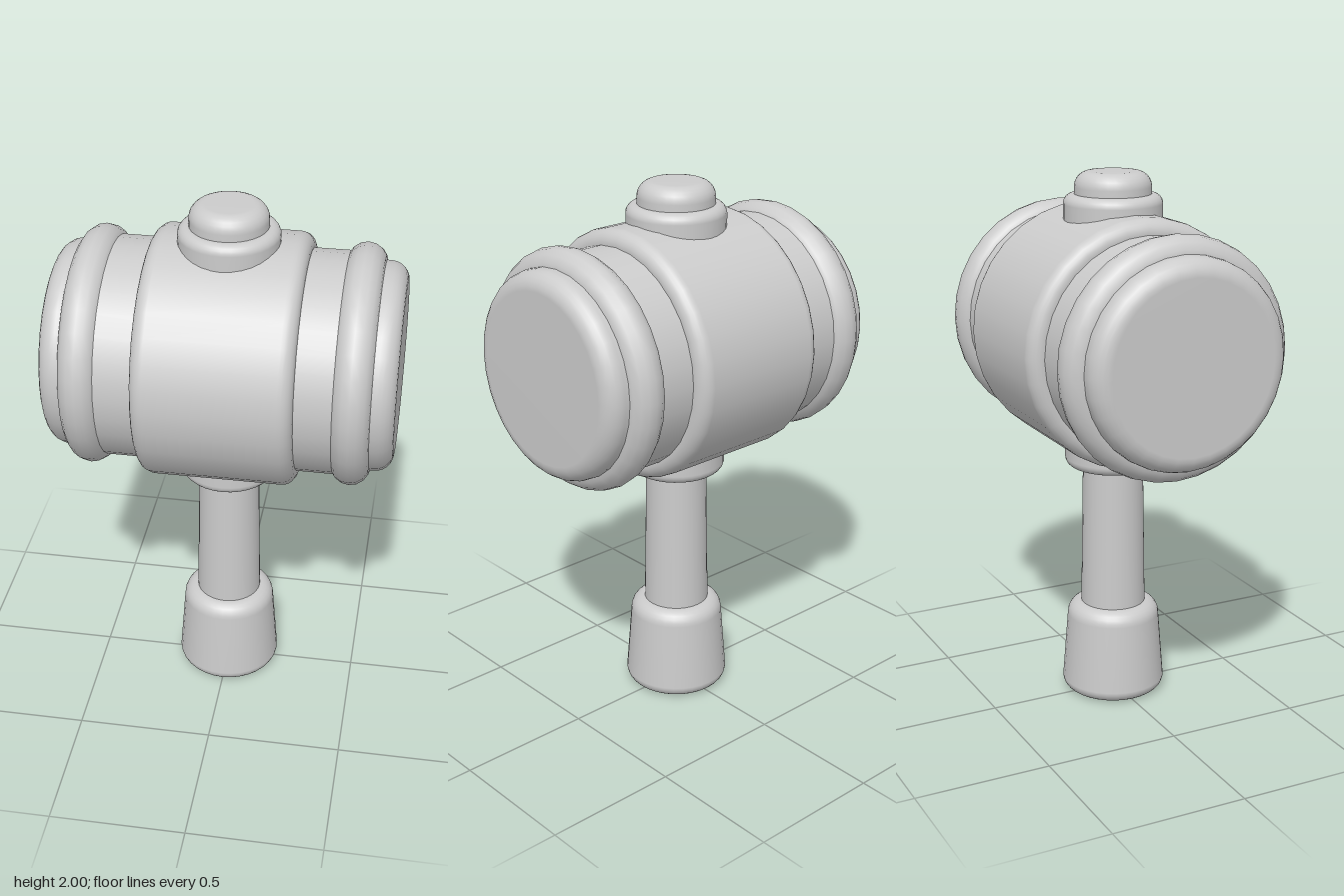
import * as THREE from 'three';

const material = new THREE.MeshStandardMaterial({ color: 0xcccccc });
const HEAD_Y = 1.41;

// Points of a quarter-round corner centred at (cx, cy), from angle a to a + 90 degrees
function corner(cx, cy, r, a, steps = 6) {
  return Array.from({ length: steps + 1 }, (_, i) => {
    const t = a + (i / steps) * Math.PI / 2;
    return new THREE.Vector2(cx + r * Math.cos(t), cy + r * Math.sin(t));
  });
}

// Solid of revolution from y0 to y1 with radii r0, r1 and rounded rims b0, b1
function roundedDrum(name, y0, y1, r0, r1, b0, b1, segments = 32) {
  const points = [
    new THREE.Vector2(0, y0),
    ...corner(r0 - b0, y0 + b0, b0, -Math.PI / 2),
    ...corner(r1 - b1, y1 - b1, b1, 0),
    new THREE.Vector2(0, y1),
  ];
  const mesh = new THREE.Mesh(new THREE.LatheGeometry(points, segments), material);
  mesh.name = name;
  return mesh;
}

export function createModel() {
  const model = new THREE.Group();
  model.name = 'mallet';

  // Head, built along y and then laid along x
  const head = new THREE.Group();
  head.name = 'head';
  head.position.y = HEAD_Y;
  head.rotation.z = -Math.PI / 2;
  head.add(roundedDrum('centreBand', -0.28, 0.28, 0.455, 0.455, 0.05, 0.05));
  head.add(roundedDrum('strikingFaces', -0.62, 0.62, 0.375, 0.375, 0.065, 0.065));

  const barrel = new THREE.Mesh(new THREE.CylinderGeometry(0.4, 0.4, 0.96, 32), material);
  barrel.name = 'barrel';
  head.add(barrel);

  // Raised ring near each striking face
  for (const side of [-1, 1]) {
    const ring = new THREE.Mesh(new THREE.TorusGeometry(0.363, 0.071, 16, 32), material);
    ring.name = side > 0 ? 'leftRing' : 'rightRing';
    ring.rotation.x = Math.PI / 2;
    ring.position.y = side * 0.47;
    head.add(ring);
  }
  model.add(head);

  // Collars above and below the head, with a knob on top
  model.add(roundedDrum('lowerCollar', 0.905, 1.1, 0.18, 0.18, 0.035, 0.02));
  model.add(roundedDrum('upperCollar', 1.72, 1.92, 0.18, 0.18, 0.02, 0.035));
  model.add(roundedDrum('topKnob', 1.86, 2, 0.14, 0.14, 0.02, 0.055));

  // Tapered shaft
  const shaft = new THREE.Mesh(new THREE.CylinderGeometry(0.112, 0.124, 0.75, 32), material);
  shaft.name = 'shaft';
  shaft.position.y = 0.625;
  model.add(shaft);

  // Flared grip
  model.add(roundedDrum('grip', 0, 0.36, 0.195, 0.175, 0.045, 0.055));

  return model;
}
